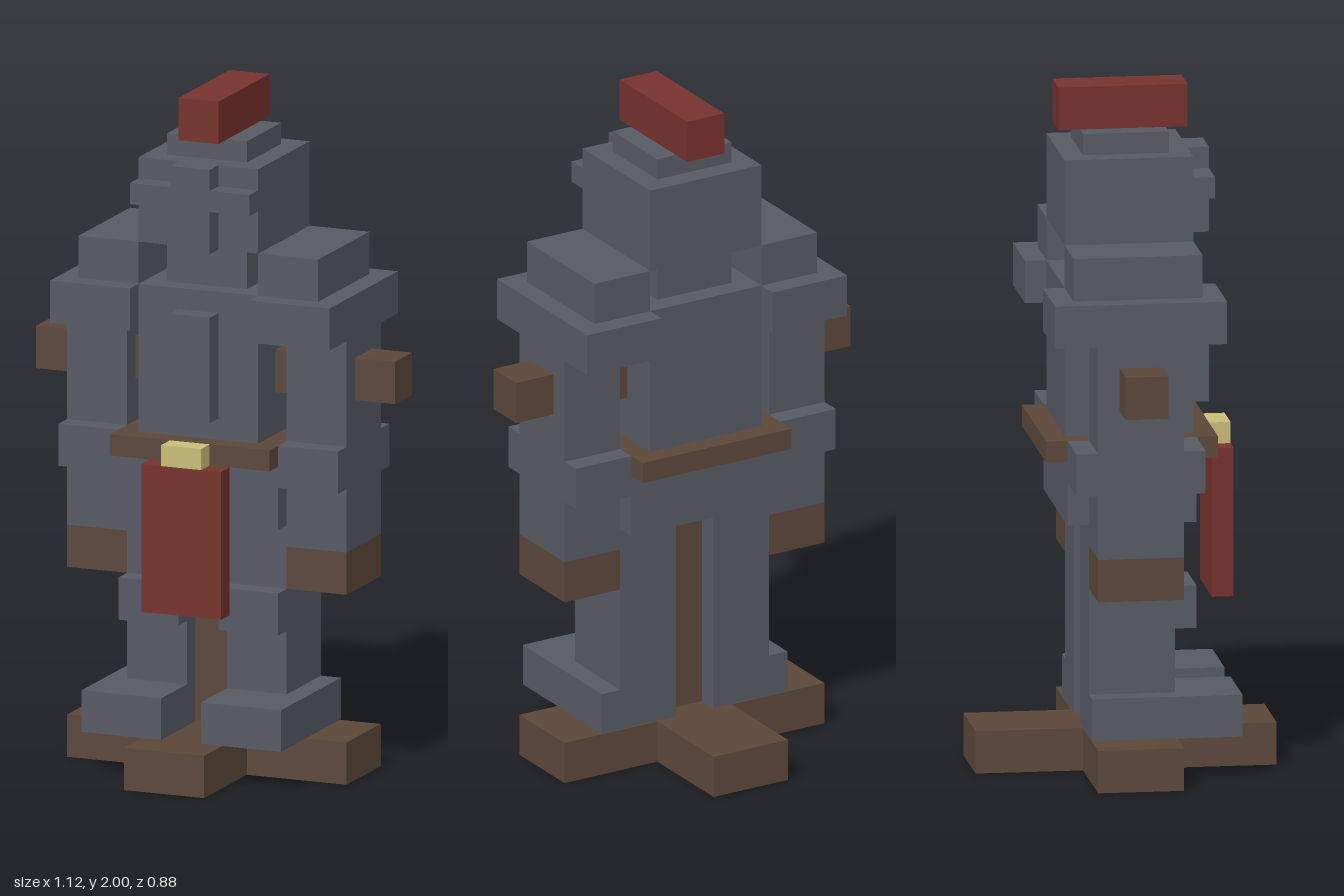
import * as THREE from 'three';

const U = 1 / 16; // block size

export function createModel() {
  const model = new THREE.Group();
  model.name = 'armorStand';

  const mat = (name, color, side = THREE.FrontSide) => {
    const m = new THREE.MeshStandardMaterial({ color, side });
    m.name = name;
    return m;
  };
  const steel = mat('steel', 0x565a63);
  const wood = mat('wood', 0x5b4739, THREE.DoubleSide);
  const red = mat('red cloth', 0x75312c);
  const gold = mat('gold', 0xc8bd76);

  // Box from min to max corners, given in blocks
  function block(name, material, [x0, x1], [y0, y1], [z0, z1], open = false) {
    const geo = new THREE.BoxGeometry((x1 - x0) * U, (y1 - y0) * U, (z1 - z0) * U);
    if (open) { // leave out the underside
      const index = Array.from(geo.index.array);
      index.splice(18, 6);
      geo.setIndex(index);
      geo.clearGroups();
    }
    const mesh = new THREE.Mesh(geo, material);
    mesh.position.set((x0 + x1) / 2 * U, (y0 + y1) / 2 * U, (z0 + z1) / 2 * U);
    mesh.name = name;
    model.add(mesh);
  }

  // The same block on both sides of the body
  function pair(name, material, [x0, x1], y, z) {
    block(name + 'Left', material, [x0, x1], y, z);
    block(name + 'Right', material, [-x1, -x0], y, z);
  }

  // Hollow cross-shaped base, post and crossbar
  block('baseBeam', wood, [-7, 7], [0, 2], [-2, 2], true);
  block('baseFront', wood, [-2, 2], [0, 2], [2, 7], true);
  block('baseBack', wood, [-2, 2], [0, 2], [-7, -2], true);
  block('post', wood, [-1, 1], [2.03, 22], [-1, 1]);
  block('crossbar', wood, [-9, 9], [18, 20], [-1, 1]);

  // Legs
  pair('foot', steel, [1, 5], [2.03, 4], [-2, 5]);
  pair('leg', steel, [1, 4], [4, 12], [-2, 2]);
  pair('knee', steel, [1, 4], [7, 9], [2, 3]);

  // Hips, belt and tabard
  block('hips', steel, [-4, 4], [12, 15], [-3, 3]);
  block('belt', wood, [-4, 4], [15, 16], [-4, 4]);
  block('buckle', gold, [-1, 1], [15, 16], [4, 5]);
  block('tabard', red, [-2, 2], [8, 15], [4, 5]);

  // Torso
  block('torso', steel, [-3, 3], [16, 23], [-3, 3]);
  block('chestRidge', steel, [-1, 1], [17, 22], [3, 4]);

  // Arms and shoulders
  pair('glove', wood, [4, 7], [9, 11], [-2, 2]);
  pair('forearm', steel, [4, 7], [11, 14], [-2, 2]);
  pair('elbow', steel, [4, 7], [14, 16], [-3, 3]);
  pair('upperArm', steel, [4, 7], [16, 21], [-2, 2]);
  pair('shoulder', steel, [3, 7], [21, 23], [-4, 4]);
  pair('shoulderTop', steel, [3, 6], [23, 25], [-3, 3]);

  // Helmet with raised cross and plume
  block('neck', steel, [-2, 2], [23, 25], [-2, 2]);
  block('helmet', steel, [-3, 3], [25, 29], [-3, 3]);
  block('noseGuard', steel, [-1, 1], [25, 29], [3, 4]);
  pair('browGuard', steel, [1, 3], [27, 28], [3, 4]);
  block('helmetCap', steel, [-2, 2], [29, 30], [-2, 2]);
  block('plume', red, [-1, 1], [30, 32], [-3, 3]);

  return model;
}
